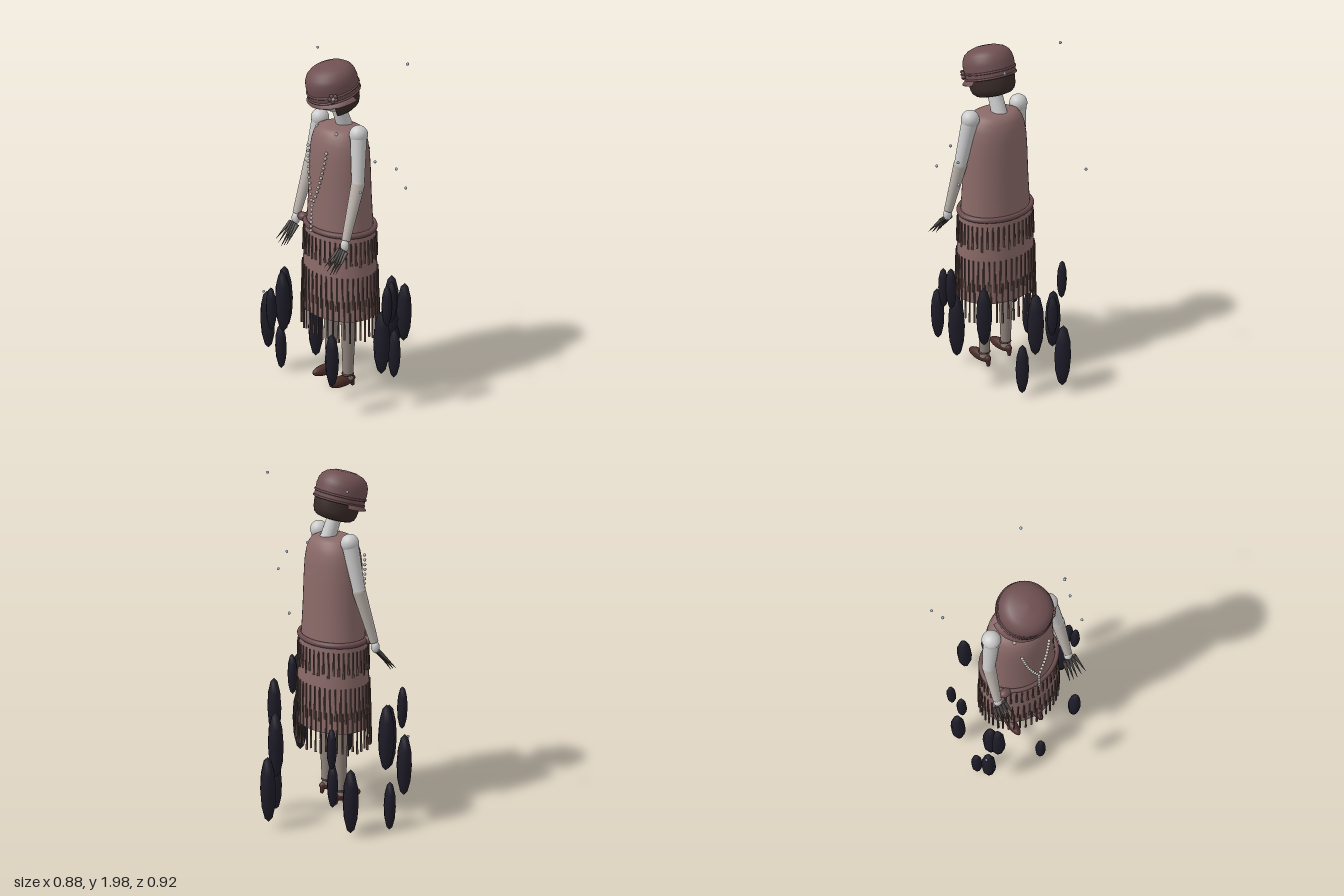
import * as THREE from 'three';

const mat = (color, extra = {}) => {
  const m = new THREE.MeshStandardMaterial({ color });
  Object.assign(m, extra);
  return m;
};
const DS = { side: THREE.DoubleSide };
const dress = mat(0x8a6a68, DS), felt = mat(0x6f5052, DS), trim = mat(0x6a4c4e);
const fringeMat = mat(0x5f4a45), skin = mat(0xcccccc), sleeve = mat(0xbdb5ae);
const stocking = mat(0x8f837c), leather = mat(0x4a2c28), hairMat = mat(0x3a2c29, DS);
const claw = mat(0x4a4644), pearl = mat(0xbfb8b4), dark = mat(0x1c1a1c);
const shard = mat(0x1e1c28), mote = mat(0x9db4c6);

const V = (x, y, z) => new THREE.Vector3(x, y, z);

function add(parent, name, geo, material, pos = [0, 0, 0], scale = [1, 1, 1]) {
  const m = new THREE.Mesh(geo, material);
  m.name = name;
  m.position.set(...pos);
  m.scale.set(...scale);
  parent.add(m);
  return m;
}

function group(parent, name) {
  const g = new THREE.Group();
  g.name = name;
  parent.add(g);
  return g;
}

// Tapered limb from point a (radius ra) to point b (radius rb)
function limb(parent, name, a, b, ra, rb, material, sides = 20) {
  const dir = b.clone().sub(a);
  const m = add(parent, name, new THREE.CylinderGeometry(rb, ra, dir.length(), sides), material);
  m.position.copy(a).add(b).multiplyScalar(0.5);
  m.quaternion.setFromUnitVectors(V(0, 1, 0), dir.normalize());
  return m;
}

const ball = (r, w = 24, h = 16) => new THREE.SphereGeometry(r, w, h);

function lathe(points, start = 0, length = Math.PI * 2) {
  return new THREE.LatheGeometry(points.map(p => new THREE.Vector2(...p)), 48, start, length);
}

const CZ = 0.04;    // depth of the body axis
const FLAT = 0.8;   // body depth relative to its width

function buildDress(root) {
  const g = group(root, 'dress');
  const body = [[0.212, 1.08], [0.205, 1.17], [0.198, 1.28], [0.193, 1.4], [0.186, 1.5],
    [0.175, 1.56], [0.16, 1.6], [0.14, 1.627], [0.11, 1.64], [0.06, 1.645], [0, 1.646]];
  add(g, 'bodice', lathe(body), dress, [0, 0, CZ], [1, 1, FLAT]);
  add(g, 'skirt', lathe([[0.25, 0.57], [0.243, 0.72], [0.235, 0.9], [0.222, 1.08]]), dress, [0, 0, CZ], [1, 1, FLAT]);

  // Rolled sash with a side knot
  const sash = add(g, 'sash', new THREE.TorusGeometry(0.222, 0.016, 10, 56), trim, [0, 1.075, CZ], [1, FLAT, 1]);
  sash.rotation.x = Math.PI / 2;
  add(g, 'sashKnot', ball(0.03), trim, [-0.18, 1.077, 0.165], [1.2, 0.85, 0.9]);

  // Three tiers of hanging fringe
  const tiers = [[1.035, 0.9, 0.232], [0.83, 0.64, 0.243], [0.69, 0.45, 0.25]];
  tiers.forEach(([top, bottom, r], t) => {
    const tier = group(g, 'fringeTier' + (t + 1));
    const n = 44;
    for (let i = 0; i < n; i++) {
      const a = (i + t * 0.33) / n * Math.PI * 2;
      const s = Math.sin(a), c = Math.cos(a);
      limb(tier, 'fringeStrand', V(s * r, top, CZ + c * r * FLAT),
        V(s * (r + 0.004), bottom + 0.012 * Math.sin(i * 2.4), CZ + c * (r + 0.004) * FLAT),
        0.004, 0.0065, fringeMat, 6);
    }
  });
}

function buildNecklace(root) {
  const g = group(root, 'necklace');
  const bead = (x, y, z, r = 0.009) => add(g, 'bead', ball(r, 10, 8), pearl, [x, y, z]);
  for (const s of [-1, 1]) {
    bead(s * 0.09, 1.627, 0.125);
    for (let i = 0; i < 11; i++) {
      const t = i / 11;
      bead(s * (0.085 * (1 - t) + 0.012 * Math.sin(t * Math.PI)), 1.53 - 0.315 * t, 0.188 + 0.037 * t);
    }
  }
  for (let i = 0; i < 7; i++) bead(0, 1.215 - i * 0.024, 0.226 + i * 0.0015);
}

function buildHead(root) {
  limb(root, 'neck', V(0, 1.6, -0.005), V(0, 1.79, 0.065), 0.044, 0.038, skin);
  const g = group(root, 'head');
  g.position.set(0, 1.86, 0.083);
  g.rotation.x = 0.27;
  add(g, 'face', ball(0.1), skin, [0, -0.035, 0.005], [0.95, 1, 1]);
  for (const s of [-1, 1]) add(g, 'eye', ball(0.016, 12, 8), dark, [s * 0.035, -0.06, 0.09], [1.2, 0.9, 0.5]);

  // Bobbed hair, open over the face
  add(g, 'hair', lathe([[0.07, -0.137], [0.1, -0.13], [0.12, -0.115], [0.13, -0.09], [0.135, -0.05], [0.135, 0]],
    0.95, Math.PI * 2 - 1.9), hairMat, [0, 0, 0], [0.9, 1, 1]);

  // Bell-shaped hat
  const hat = group(g, 'hat');
  add(hat, 'crown', lathe([[0.14, -0.035], [0.141, 0], [0.142, 0.04], [0.137, 0.068], [0.124, 0.094],
    [0.1, 0.113], [0.06, 0.127], [0, 0.132]]), felt, [0, 0, 0], [0.96, 1, 1]);
  for (const [y, r] of [[0.002, 0.141], [-0.03, 0.14]]) {
    const band = add(hat, 'hatBand', new THREE.TorusGeometry(r, 0.006, 8, 48), trim, [0, y, 0], [0.97, 1, 1]);
    band.rotation.x = Math.PI / 2;
  }
  add(hat, 'brim', lathe([[0.166, -0.054], [0.168, -0.049], [0.152, -0.036], [0.136, -0.024]],
    -1.75, 3.5), felt, [0, 0, 0], [0.97, 1, 0.9]);

  // Small flower of beads on the left side of the hat
  add(hat, 'flowerCentre', ball(0.011, 12, 8), pearl, [0.118, 0.0, 0.085]);
  for (let i = 0; i < 5; i++) {
    const a = i / 5 * Math.PI * 2;
    add(hat, 'flowerPetal', ball(0.011, 10, 8), trim,
      [0.118 - Math.cos(a) * 0.01, Math.sin(a) * 0.017, 0.085 + Math.cos(a) * 0.014]);
  }
}

function buildArm(root, s) {
  const g = group(root, s > 0 ? 'leftArm' : 'rightArm');
  const shoulder = V(s * 0.178, 1.635, 0.045), elbow = V(s * 0.222, 1.375, 0.08), wrist = V(s * 0.236, 1.08, 0.168);
  add(g, 'shoulder', ball(0.05), skin, shoulder.toArray());
  limb(g, 'upperArm', shoulder, elbow, 0.045, 0.034, skin);
  add(g, 'elbow', ball(0.037), sleeve, elbow.toArray());
  limb(g, 'forearm', elbow, wrist, 0.037, 0.024, sleeve);
  add(g, 'hand', ball(0.028), skin, [s * 0.236, 1.05, 0.176], [0.9, 1.25, 0.8]);
  // Long pointed fingers fanned forward
  [-1.5, -0.75, 0, 0.75, 1.5].forEach(k => {
    limb(g, 'finger', V(s * 0.236 + k * 0.022, 1.03 - 0.004 * Math.abs(k), 0.188),
      V(s * 0.238 + k * 0.036, 0.903 + 0.017 * Math.abs(k), 0.275), 0.012, 0.001, claw, 8);
  });
}

function buildLeg(root, s) {
  const g = group(root, s > 0 ? 'leftLeg' : 'rightLeg');
  const x = s * 0.085;
  limb(g, 'stocking', V(x, 0.13, 0.045), V(x, 0.78, 0.042), 0.029, 0.055, stocking);
  add(g, 'shoe', ball(1), leather, [x, 0.122, 0.085], [0.031, 0.034, 0.09]);
  limb(g, 'heel', V(x, 0.075, 0.012), V(x, 0.12, 0.018), 0.01, 0.018, leather, 12);
  const strap = add(g, 'ankleStrap', new THREE.TorusGeometry(0.03, 0.006, 8, 24), leather, [x, 0.16, 0.047]);
  strap.rotation.x = Math.PI / 2;
}

function buildSurroundings(root) {
  // Dark spindles hovering around the figure: x, centre y, z, radius
  const spindles = [
    [-0.09, 0.26, -0.415, 0.047], [0.025, 0.465, -0.31, 0.047], [0.097, 0.19, -0.28, 0.038],
    [0.302, 0.573, -0.185, 0.043], [-0.348, 0.55, -0.152, 0.029], [-0.305, 0.31, -0.123, 0.032],
    [-0.383, 0.23, -0.052, 0.046], [0.34, 0.455, 0, 0.047], [0.394, 0.72, -0.022, 0.03],
    [0.411, 0.715, 0.022, 0.029], [-0.408, 0.163, 0.183, 0.035], [-0.316, 0.535, 0.207, 0.047],
    [-0.288, 0.525, 0.24, 0.046], [-0.386, 0.383, 0.285, 0.044], [0.245, 0.385, 0.27, 0.039],
    [-0.118, 0.605, 0.427, 0.031]];
  const g = group(root, 'spindles');
  const geo = new THREE.SphereGeometry(1, 8, 6);
  for (const [x, y, z, r] of spindles) add(g, 'spindle', geo, shard, [x, y, z], [r, r * 4.2, r]);

  // Tiny drifting motes
  const motes = [[-0.373, 1.963, -0.078], [0.21, 1.975, -0.25], [-0.287, 1.337, -0.37], [0.322, 1.525, 0.044],
    [0.366, 1.475, -0.063], [0.4, 1.37, -0.102], [0.333, 1.38, 0.146], [-0.405, 0.56, 0.295]];
  const d = group(root, 'motes');
  for (const p of motes) add(d, 'mote', ball(0.008, 8, 6), mote, p);
}

export function createModel() {
  const root = new THREE.Group();
  root.name = 'fringedFigure';
  buildDress(root);
  buildNecklace(root);
  buildHead(root);
  for (const s of [-1, 1]) {
    buildArm(root, s);
    buildLeg(root, s);
  }
  buildSurroundings(root);
  return root;
}
